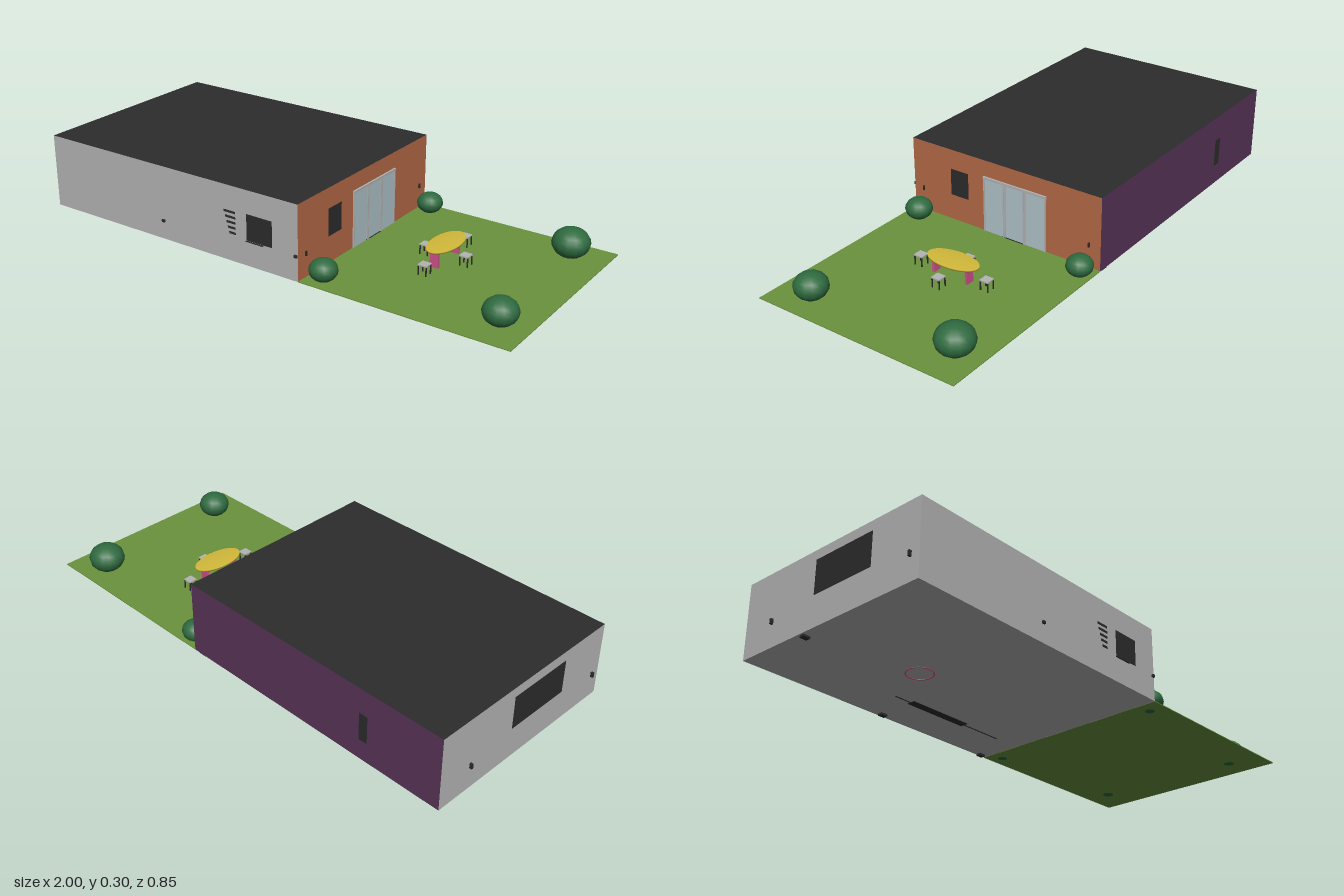
import * as THREE from 'three';

export function createModel() {
  const root = new THREE.Group();
  root.name = 'houseWithGarden';
  const mat = (name, color) => {
    const m = new THREE.MeshStandardMaterial({ color });
    m.name = name;
    return m;
  };
  const dark = mat('charcoal', 0x2c2c2c);
  const grey = mat('lightGrey', 0xb4b4b4);
  const brick = mat('terracotta', 0xb56a48);
  const purple = mat('purple', 0x5a355a);
  const grass = mat('grass', 0x6a923e);
  const leaf = mat('leaf', 0x2f6b40);
  const yellow = mat('yellow', 0xd2b93a);
  const pink = mat('pink', 0xd0508c);
  const glass = mat('glass', 0xb0c4cb);

  const add = (name, geo, material, x, y, z, parent = root) => {
    const m = new THREE.Mesh(geo, material);
    m.name = name;
    m.position.set(x, y, z);
    parent.add(m);
    return m;
  };
  // box given by its extents on each axis
  const box = (name, material, [x0, x1], [y0, y1], [z0, z1], parent = root) =>
    add(name, new THREE.BoxGeometry(x1 - x0, y1 - y0, z1 - z0), material,
      (x0 + x1) / 2, (y0 + y1) / 2, (z0 + z1) / 2, parent);

  const L = -0.99, R = 0.185, F = 0.418, B = -0.425;

  // house: one colour for each side
  box('house', [brick, grey, dark, grey, grey, purple], [L, R], [0.008, 0.299], [B, F]);
  box('lawn', grass, [R, 1], [0.007, 0.01], [B, F]);

  // windows as thin plates
  box('sideWindow', dark, [R, R + 0.002], [0.114, 0.22], [0.158, 0.238]);
  box('frontWindow', dark, [-0.037, 0.074], [0.108, 0.208], [F, F + 0.002]);
  box('frontWindowSill', dark, [-0.04, 0.035], [0.103, 0.106], [F, F + 0.005]);
  box('leftWindow', dark, [L - 0.002, L], [0.13, 0.26], [-0.07, 0.2]);
  box('backWindow', dark, [-0.68, -0.645], [0.09, 0.2], [B - 0.002, B]);
  for (let i = 0; i < 5; i++) {
    const y = 0.115 + i * 0.02;
    box('frontLouvre', dark, [-0.14 + (4 - i) * 0.006, -0.088], [y, y + 0.008], [F, F + 0.002]);
  }

  // sliding glass door with frame and mullions
  const door = new THREE.Group();
  door.name = 'slidingDoor';
  root.add(door);
  box('doorGlass', glass, [R, R + 0.003], [0.01, 0.23], [-0.19, 0.08], door);
  box('doorHead', grey, [R, R + 0.007], [0.226, 0.235], [-0.195, 0.085], door);
  for (const z of [0.081, -0.007, -0.013, -0.097, -0.103, -0.191])
    box('doorMullion', grey, [R, R + 0.006], [0.01, 0.228], [z - 0.0025, z + 0.0025], door);
  box('doorSill', dark, [R, R + 0.006], [0.01, 0.012], [-0.1, 0], door);

  // small wall lamps
  for (const z of [0.373, -0.377])
    box('rightLamp', dark, [R, R + 0.006], [0.092, 0.11], [z - 0.003, z + 0.003]);
  for (const z of [0.38, -0.28])
    box('leftLamp', dark, [-1, L], [0.095, 0.115], [z - 0.004, z + 0.004]);
  for (const [x, y] of [[0.178, 0.105], [-0.43, 0.083]])
    box('frontLamp', dark, [x - 0.006, x + 0.006], [y - 0.005, y + 0.005], [F, F + 0.007]);

  // bushes: x, z, radius
  for (const [x, z, r] of [[0.24, -0.375, 0.051], [0.86, -0.32, 0.071], [0.89, 0.278, 0.063], [0.245, 0.352, 0.053]]) {
    const bush = add('bush', new THREE.SphereGeometry(r, 14, 10), leaf, x, 0.004 + r * 0.8, z);
    bush.scale.y = 0.8;
  }

  // oval garden table, rounded shading at the rim
  const table = new THREE.Group();
  table.name = 'gardenTable';
  table.position.set(0.51, 0, -0.03);
  root.add(table);
  const profile = [[0, 0.073], [0.054, 0.073], [0.054, 0.079], [0, 0.079]].map(p => new THREE.Vector2(...p));
  add('tableTop', new THREE.LatheGeometry(profile, 28), yellow, 0, 0, 0, table).scale.z = 2;
  for (const z of [0.078, -0.068])
    box('tableLeg', pink, [-0.017, 0.017], [0.01, 0.074], [z - 0.005, z + 0.005], table);

  // stools around the table
  for (const [x, z] of [[0.51, -0.175], [0.51, 0.117], [0.428, -0.03], [0.592, -0.03]]) {
    const stool = new THREE.Group();
    stool.name = 'stool';
    stool.position.set(x, 0, z);
    root.add(stool);
    box('stoolSeat', grey, [-0.018, 0.018], [0.046, 0.051], [-0.018, 0.018], stool);
    for (const sx of [-1, 1]) for (const sz of [-1, 1])
      add('stoolLeg', new THREE.BoxGeometry(0.004, 0.036, 0.004), dark, sx * 0.0155, 0.028, sz * 0.0155, stool);
  }

  // fittings showing under the floor
  box('floorStrip', dark, [-0.46, 0.07], [0.006, 0.008], [-0.252, -0.248]);
  box('floorPanel', dark, [-0.386, -0.11], [0.006, 0.008], [-0.265, -0.232]);
  for (const [x, z] of [[0.15, -0.41], [-0.38, -0.405], [-0.97, -0.125]])
    box('floorFoot', dark, [x - 0.014, x + 0.014], [0, 0.008], [z - 0.01, z + 0.01]);
  add('floorRing', new THREE.TorusGeometry(0.05, 0.003, 6, 28), pink, -0.533, 0.008, -0.05).rotation.x = Math.PI / 2;

  return root;
}
